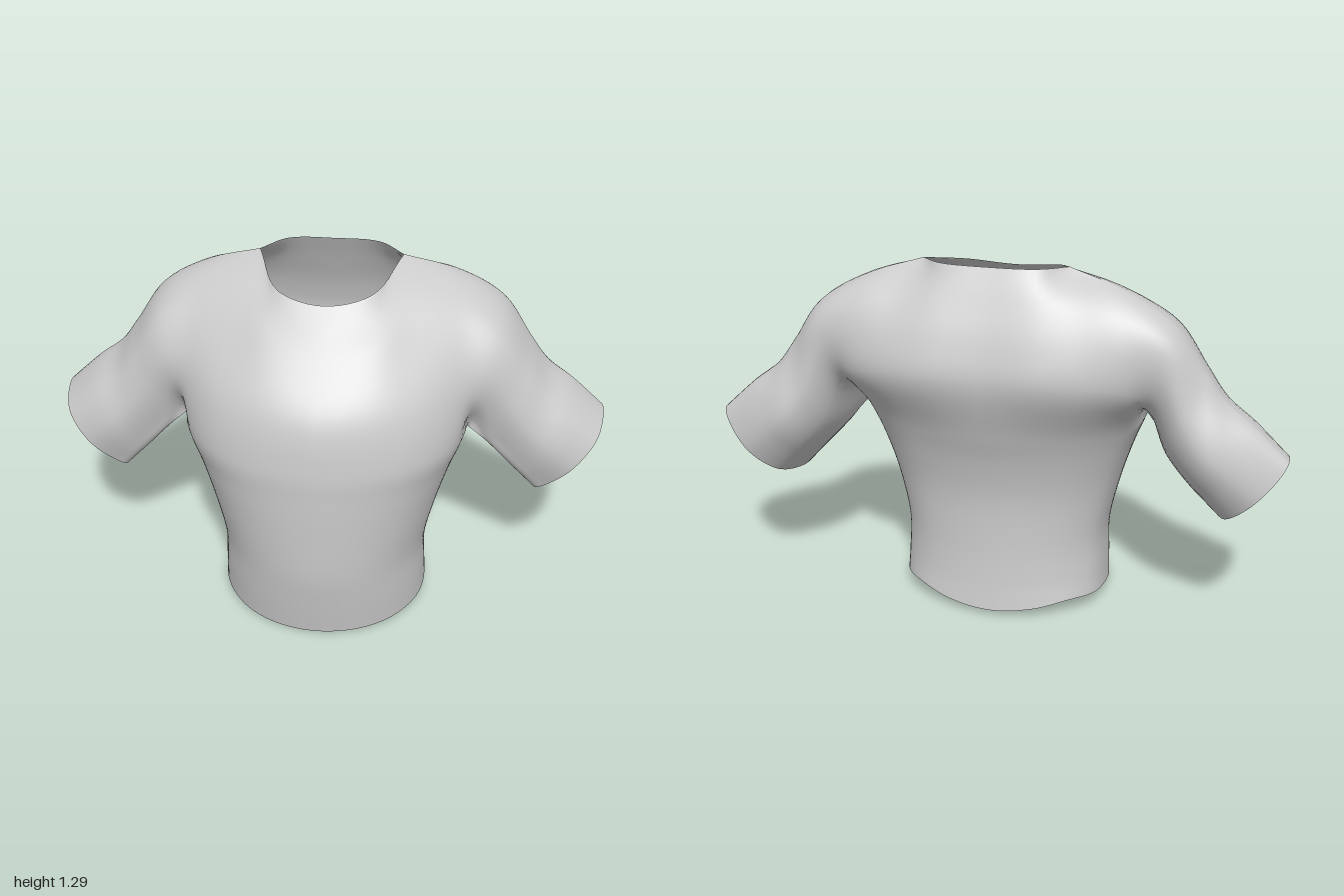
import * as THREE from 'three';
import { mergeVertices } from 'three/addons/utils/BufferGeometryUtils.js';

const N = 6;                 // subdivisions between two control points
const ARMPIT = 5 * N;        // row index of the armpit level
const TOP = 9 * N;           // row index of the neck and shoulder seam
const V = (p) => new THREE.Vector3(...p);
const flipX = (p) => new THREE.Vector3(-p.x, p.y, p.z);

// Smooth samples through points, from control index a to b
function sample(points, a = 0, b = points.length - 1) {
  const curve = new THREE.CatmullRomCurve3(points);
  const out = [];
  for (let i = a * N; i <= b * N; i++) out.push(curve.getPoint(i / N / (points.length - 1)));
  return out;
}

// Waist sections from hem to armpit: y, half width, front z, back z, side seam z
const LEVELS = [
  [0.045, 0.38, 0.347, -0.285, 0.025],
  [0.13, 0.376, 0.37, -0.271, 0.03],
  [0.27, 0.373, 0.391, -0.262, 0.035],
  [0.45, 0.41, 0.4, -0.265, 0.04],
  [0.6, 0.455, 0.403, -0.295, 0.035],
  [0.72, 0.5, 0.401, -0.335, 0.02],
];
const ANGLES = [90, 66, 44, 21, 0];   // centre column to side seam
const BACK_HEM = [0.02, 0.035, 0.06, 0.055, 0.045];

// Columns above the armpit: centre, neck side, neck corner, shoulder, armhole
const CHEST = [
  [[0, 0.9, 0.365], [0, 1.05, 0.25], [0, 1.14, 0.165], [0, 1.2, 0.105]],
  [[0.19, 0.91, 0.33], [0.18, 1.07, 0.21], [0.17, 1.16, 0.115], [0.155, 1.222, 0.055]],
  [[0.34, 0.91, 0.25], [0.31, 1.08, 0.125], [0.28, 1.2, 0], [0.25, 1.278, -0.17]],
  [[0.465, 0.9, 0.135], [0.455, 1.05, 0.06], [0.445, 1.165, -0.05], [0.43, 1.222, -0.2]],
  [[0.54, 0.84, 0.065], [0.575, 0.96, 0.05], [0.6, 1.07, -0.03], [0.61, 1.117, -0.215]],
];
const UPPER_BACK = [
  [[0, 0.92, -0.395], [0, 1.05, -0.372], [0, 1.18, -0.32], [0, 1.285, -0.27]],
  [[0.19, 0.92, -0.4], [0.18, 1.05, -0.378], [0.17, 1.19, -0.315], [0.16, 1.285, -0.256]],
  [[0.35, 0.91, -0.37], [0.32, 1.05, -0.36], [0.29, 1.185, -0.29], [0.25, 1.278, -0.17]],
  [[0.465, 0.89, -0.325], [0.455, 1.03, -0.342], [0.44, 1.155, -0.295], [0.43, 1.222, -0.2]],
  [[0.54, 0.84, -0.25], [0.575, 0.96, -0.31], [0.6, 1.075, -0.29], [0.61, 1.117, -0.215]],
];

// Sleeve sections: underarm point, top seam point, front z, back z
const SLEEVE = [
  [[0.58, 0.635, -0.01], [0.715, 0.97, -0.21], 0.035, -0.315],
  [[0.66, 0.545, -0.025], [0.785, 0.875, -0.215], 0.025, -0.33],
  [[0.715, 0.485, -0.035], [0.88, 0.8, -0.225], 0.02, -0.315],
  [[0.765, 0.43, -0.045], [1.0, 0.69, -0.23], 0.0, -0.29],
];

// Control columns of one side of the body, hem to top
function bodyColumns(front) {
  const [upper, across] = front ? [CHEST, UPPER_BACK] : [UPPER_BACK, CHEST];
  return ANGLES.map((deg, c) => {
    const a = THREE.MathUtils.degToRad(deg);
    const s = Math.pow(Math.sin(a), front ? 1 : 0.72);
    const lower = LEVELS.map(([y, w, zf, zb, seam], i) => {
      const hem = front ? 0.045 - 0.045 * s : BACK_HEM[c];
      const x = c === 0 ? 0 : w * Math.cos(a);
      return V([x, i ? y : hem, seam + ((front ? zf : zb) - seam) * s]);
    });
    // shoulder columns run on over the seam so both panels meet smoothly
    const beyond = c > 2 ? [V(across[c][2])] : [];
    return sample([...lower, ...upper[c].map(V), ...beyond], 0, 9);
  });
}

// Half ellipse of each sleeve section, underarm to top seam
function sleeveColumns(front) {
  return SLEEVE.map(([bottom, top, zf, zb]) => sample([-1, 0, 1, 2, 3, 4, 5].map((i) => {
    const a = (i * Math.PI) / 4;
    const s = Math.sin(a);
    const p = V(bottom).lerp(V(top), (1 - Math.cos(a)) / 2);
    p.z += ((front === s > 0 ? zf : zb) - p.z) * Math.abs(s);
    p.x += 0.012 * Math.abs(s);
    p.y -= 0.012 * Math.abs(s);
    return p;
  }), 1, 5));
}

// One panel: body and both half sleeves as a mirrored grid
function panel(front) {
  const body = bodyColumns(front);
  const other = bodyColumns(!front);
  const sleeve = sleeveColumns(front);
  const rows = [];
  for (let j = 0; j <= TOP; j++) {
    const b = body.map((col) => col[j]);
    const s = j >= ARMPIT ? sleeve.map((col) => col[j - ARMPIT]) : [];
    const start = flipX(b[1]);
    if (j === TOP) {            // neck edge, then shoulder seam
      rows.push([...sample([start, b[0], b[1], b[2]], 1, 3), ...sample([b[2], b[3], b[4], ...s]).slice(1)]);
    } else if (j > ARMPIT) {    // chest running out into the sleeve
      rows.push(sample([start, ...b, ...s], 1, 9));
    } else {                    // waist, plus the underarm seam on its last row
      const row = sample([start, ...b, other[3][j]], 1, 5);
      if (s.length) row.push(...sample([b[4], ...s]).slice(1));
      rows.push(row);
    }
  }
  const pos = [];
  const index = [];
  for (const side of [1, -1]) {
    const ids = rows.map((row) => row.map((p) => {
      pos.push(p.x * side, p.y, p.z);
      return pos.length / 3 - 1;
    }));
    const outward = (side > 0) === front;
    for (let j = 0; j < TOP; j++) {
      const count = Math.min(ids[j].length, ids[j + 1].length) - 1;
      for (let k = 0; k < count; k++) {
        const a = ids[j][k], b = ids[j][k + 1], c = ids[j + 1][k + 1], d = ids[j + 1][k];
        if (outward) index.push(a, b, c, a, c, d);
        else index.push(a, c, b, a, d, c);
      }
    }
  }
  let geo = new THREE.BufferGeometry();
  geo.setAttribute('position', new THREE.Float32BufferAttribute(pos, 3));
  geo.setIndex(index);
  geo = mergeVertices(geo, 1e-4);
  geo.computeVertexNormals();
  return geo;
}

export function createModel() {
  const shirt = new THREE.Group();
  shirt.name = 'shirt';
  const cloth = new THREE.MeshStandardMaterial({ color: 0xcccccc, side: THREE.DoubleSide });
  for (const [name, front] of [['frontPanel', true], ['backPanel', false]]) {
    const mesh = new THREE.Mesh(panel(front), cloth);
    mesh.name = name;
    shirt.add(mesh);
  }
  return shirt;
}
